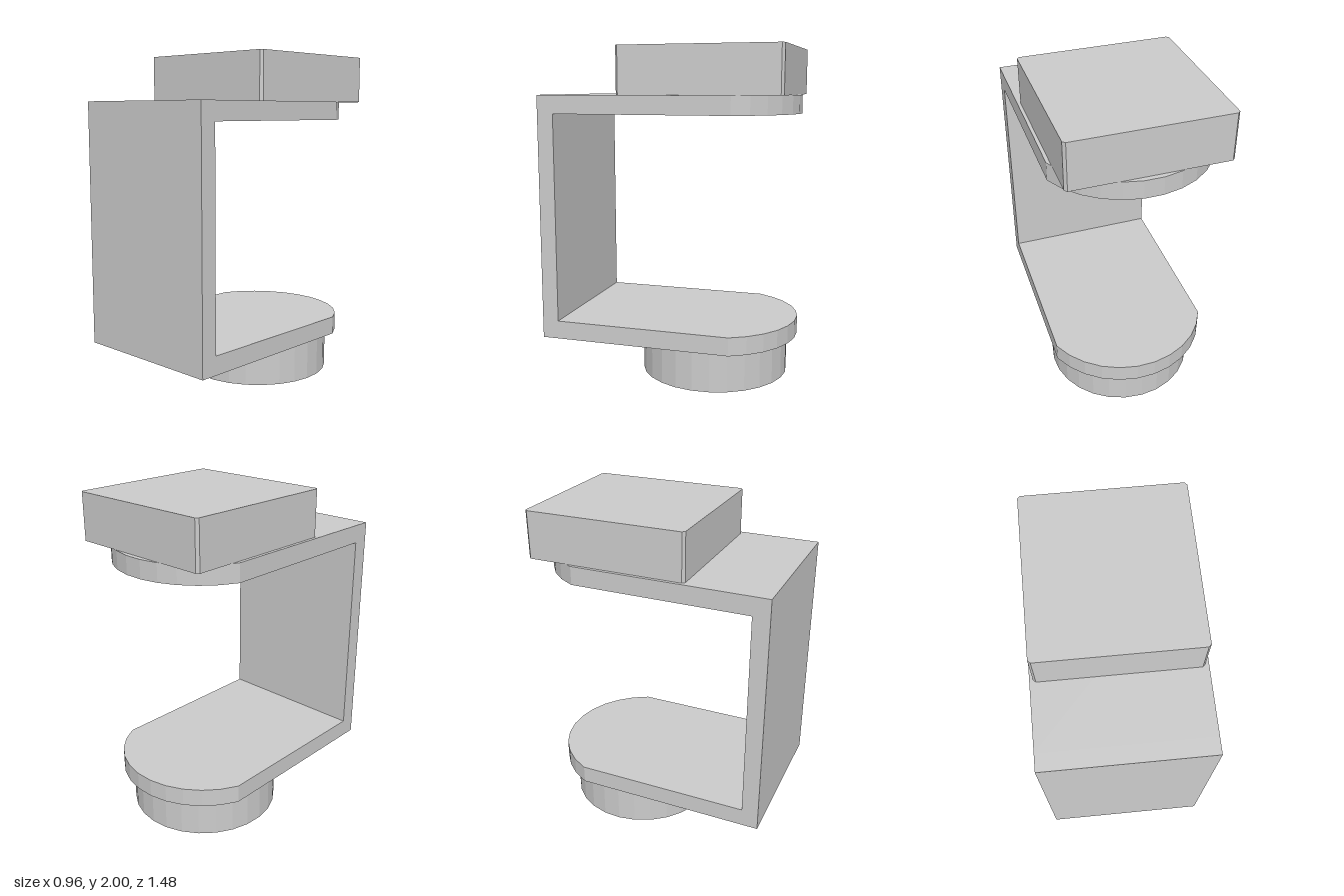
import * as THREE from 'three';

const material = new THREE.MeshStandardMaterial({ color: 0xcccccc, flatShading: true });

// Adds a named mesh to a group
function add(group, name, geometry, x, y, z) {
  const mesh = new THREE.Mesh(geometry, material);
  mesh.name = name;
  mesh.position.set(x, y, z);
  group.add(mesh);
}

// Extrudes a plan outline of [x, z] points upward from y = 0
function slab(points, height) {
  const shape = new THREE.Shape(points.map(([x, z]) => new THREE.Vector2(x, -z)));
  return new THREE.ExtrudeGeometry(shape, { depth: height, bevelEnabled: false }).rotateX(-Math.PI / 2);
}

// Bracket arm: straight sides, rounded faceted back end
function armGeometry() {
  const segments = 11, radius = 0.522, centreZ = -0.22;
  const half = Math.asin(0.48 / radius);
  const points = [[-0.48, 0.64], [0.48, 0.64]];
  for (let i = 0; i <= segments; i++) {
    const a = half - (2 * half * i) / segments;
    points.push([radius * Math.sin(a), centreZ - radius * Math.cos(a)]);
  }
  return slab(points, 0.11);
}

// Rectangular block with small chamfers on its vertical edges
function blockGeometry(w, d, h, c) {
  const x = w / 2, z = d / 2;
  return slab([
    [-x + c, z], [x - c, z], [x, z - c], [x, -z + c],
    [x - c, -z], [-x + c, -z], [-x, -z + c], [-x, z - c],
  ], h);
}

export function createModel() {
  const model = new THREE.Group();
  model.name = 'clampBracket';

  // C-shaped bracket
  const bracket = new THREE.Group();
  bracket.name = 'bracket';
  add(bracket, 'frontPlate', new THREE.BoxGeometry(0.96, 1.475, 0.1), 0, 0.9825, 0.69);
  add(bracket, 'lowerArm', armGeometry(), 0, 0.245, 0);
  add(bracket, 'upperArm', armGeometry(), 0, 1.61, 0);
  model.add(bracket);

  // Round foot below and square block on top
  add(model, 'roundFoot', new THREE.CylinderGeometry(0.454, 0.454, 0.245, 27, 1, false, Math.PI), 0, 0.1225, -0.226);
  add(model, 'topBlock', blockGeometry(0.92, 0.965, 0.28, 0.015), 0, 1.72, -0.2275);

  return model;
}
